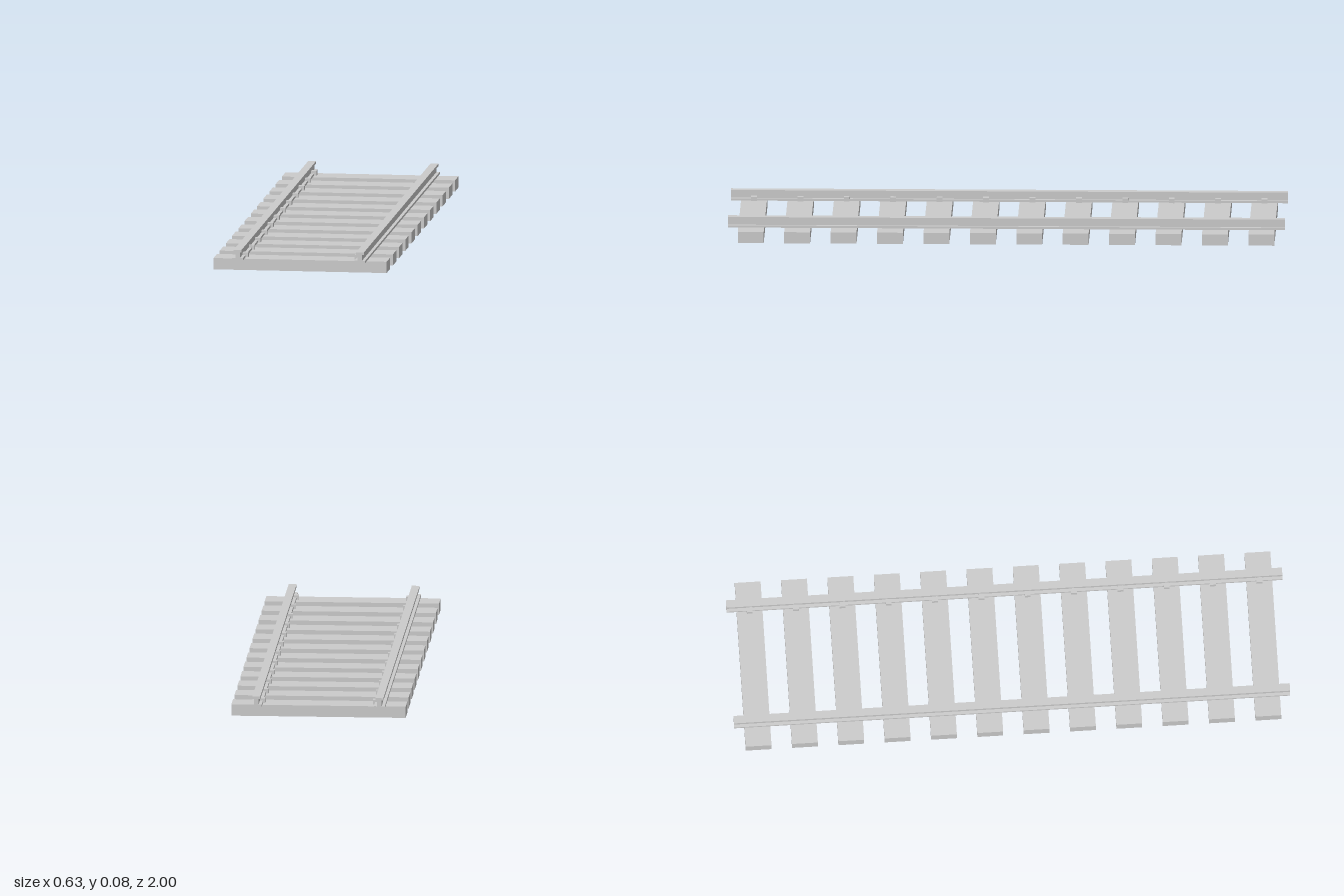
import * as THREE from 'three';

const TIE_COUNT = 12;
const TIE_TOP = 0.041;
const GAUGE = 0.2214; // rail centre distance from the middle

// Extrudes a closed x-y outline along z, centred on z = 0
function extrudeZ(points, length) {
  const shape = new THREE.Shape(points.map(([x, y]) => new THREE.Vector2(x, y)));
  const geometry = new THREE.ExtrudeGeometry(shape, { depth: length, bevelEnabled: false });
  return geometry.translate(0, 0, -length / 2);
}

export function createModel() {
  const group = new THREE.Group();
  const material = new THREE.MeshStandardMaterial({ color: 0xcccccc, flatShading: true });

  const add = (name, geometry, x, y, z) => {
    const mesh = new THREE.Mesh(geometry, material);
    mesh.name = name;
    mesh.position.set(x, y, z);
    group.add(mesh);
  };

  // Rail section: foot, web and head, mirrored about its own centre
  const half = [[0.0195, 0], [0.0195, 0.008], [0.008, 0.008], [0.008, 0.0285], [0.0143, 0.0285], [0.0143, 0.0376]];
  const railGeometry = extrudeZ([...half, ...half.map(([x, y]) => [-x, y]).reverse()], 2);

  // Clip hooked over the inner foot of a rail, one geometry for each side
  const clipOutline = [[0.0085, 0.008], [0.0195, 0.008], [0.0195, 0], [0.0284, 0], [0.0284, 0.0162], [0.0085, 0.0162]];
  const clipGeometry = {
    '-1': extrudeZ(clipOutline, 0.021),
    '1': extrudeZ(clipOutline.map(([x, y]) => [-x, y]), 0.021),
  };

  const tieGeometry = new THREE.BoxGeometry(0.627, TIE_TOP, 0.093);

  for (const side of [-1, 1]) {
    add(side > 0 ? 'leftRail' : 'rightRail', railGeometry, side * GAUGE, TIE_TOP, 0);
  }

  // Evenly spaced ties, each with a clip per rail
  for (let i = 0; i < TIE_COUNT; i++) {
    const z = -1 + (2 * (i + 0.5)) / TIE_COUNT;
    add('tie', tieGeometry, 0, TIE_TOP / 2, z);
    for (const side of [-1, 1]) {
      add(side > 0 ? 'leftClip' : 'rightClip', clipGeometry[side], side * GAUGE, TIE_TOP, z);
    }
  }
  return group;
}
